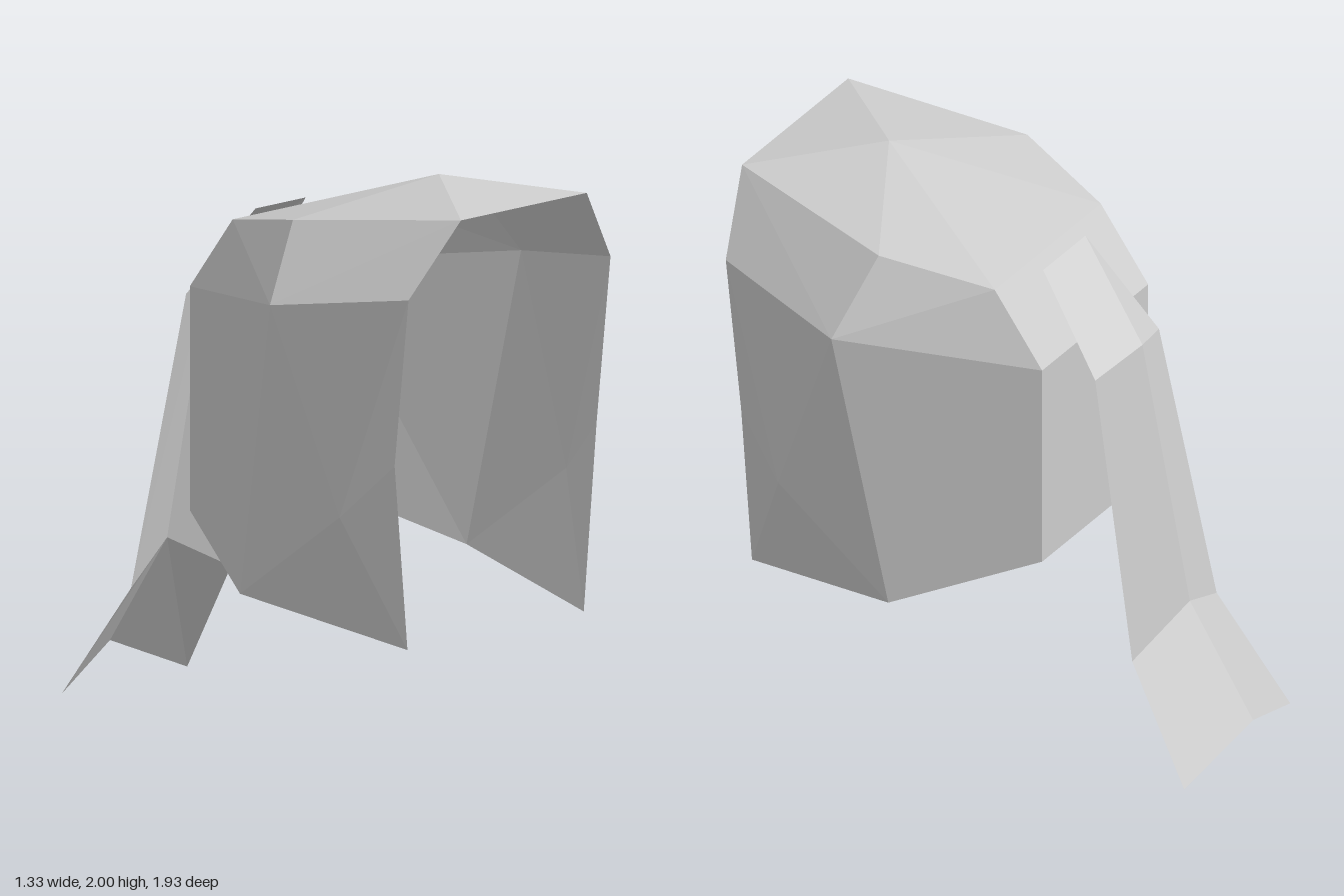
import * as THREE from 'three';

const hairGrey = new THREE.MeshStandardMaterial({ color: 0xcccccc, flatShading: true, side: THREE.DoubleSide });
hairGrey.name = 'hairGrey';

// Mirror a point across the centre plane
const flip = ([x, y, z]) => [-x, y, z];

// Build a faceted mesh from left-half faces plus their mirror, and faces that span the centre.
// Each face is a convex loop of points, counter-clockwise seen from outside.
function facetedMesh(name, halfFaces, centreFaces) {
  const faces = [...centreFaces];
  for (const f of halfFaces) faces.push(f, f.map(flip).reverse());
  const positions = [];
  for (const f of faces) {
    for (let i = 1; i < f.length - 1; i++) positions.push(...f[0], ...f[i], ...f[i + 1]);
  }
  const geometry = new THREE.BufferGeometry();
  geometry.setAttribute('position', new THREE.Float32BufferAttribute(positions, 3));
  geometry.computeVertexNormals();
  const mesh = new THREE.Mesh(geometry, hairGrey);
  mesh.name = name;
  return mesh;
}

export function createModel() {
  const group = new THREE.Group();
  group.name = 'hairstyle';

  // Crown ring, brow ring and hem of the left half
  const apex = [0, 2, 0.57];
  const crown = { front: [0.333, 1.935, 0.967], side: [0.467, 1.87, 0.3], back: [0.333, 1.8, -0.1] };
  const brow = { front: [0.535, 1.67, 0.9], side: [0.665, 1.603, 0.367], back: [0.333, 1.535, -0.3] };
  const cheek = { front: [0.535, 1.07, 0.835], side: [0.6, 0.87, 0.635] };
  const hem = { front: [0.467, 0.403, 0.835], side: [0.6, 0.537, 0.17], back: [0.333, 0.735, -0.3] };

  // Top of the head: a fan around the apex
  group.add(facetedMesh('crown', [
    [apex, crown.front, crown.side],
    [apex, crown.side, crown.back],
  ], [
    [apex, flip(crown.front), crown.front],
    [apex, crown.back, flip(crown.back)],
  ]));

  // Sloping band below the crown, open at the face
  group.add(facetedMesh('upperBand', [
    [crown.front, brow.front, brow.side],
    [crown.front, brow.side, crown.side],
    [crown.side, brow.side, crown.back],
    [crown.back, brow.side, brow.back],
  ], [
    [crown.back, brow.back, flip(brow.back), flip(crown.back)],
  ]));

  // Hanging sides and back
  group.add(facetedMesh('sideAndBackHair', [
    [brow.front, cheek.side, brow.side],
    [brow.front, cheek.front, cheek.side],
    [cheek.front, hem.front, cheek.side],
    [hem.front, hem.side, cheek.side],
    [brow.side, cheek.side, hem.side],
    [brow.side, hem.side, brow.back],
    [brow.back, hem.side, hem.back],
  ], [
    [brow.back, hem.back, flip(hem.back), flip(brow.back)],
  ]));

  // Ponytail: a ribbon folded along its centre ridge, flaring at the tip
  const root = [0.133, 1.8, -0.17];
  const ridge = [[0, 1.535, -0.5], [0, 0.537, -0.7], [0, 0.135, -0.967]];
  const edge = [[0.2, 1.47, -0.435], [0.265, 0.403, -0.635], [0.333, 0, -0.9]];
  const tailFaces = [[root, edge[0], ridge[0]]];
  for (let i = 0; i < 2; i++) {
    tailFaces.push([edge[i], edge[i + 1], ridge[i]], [ridge[i], edge[i + 1], ridge[i + 1]]);
  }
  group.add(facetedMesh('ponytail', tailFaces, [[root, ridge[0], flip(root)]]));

  return group;
}
